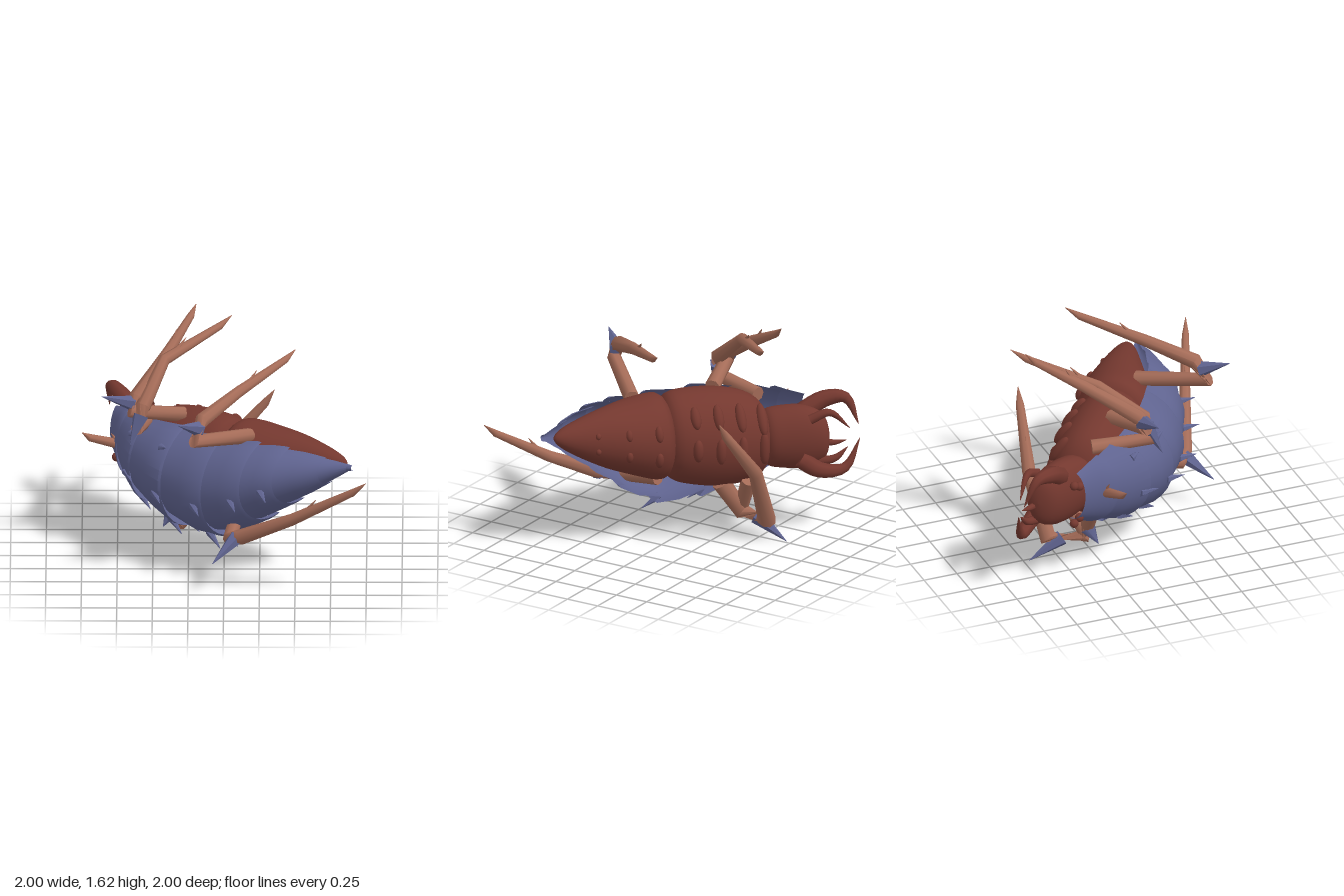
import * as THREE from 'three';
import { toCreasedNormals } from 'three/addons/utils/BufferGeometryUtils.js';

const mat = (name, color) => new THREE.MeshStandardMaterial({ name, color, side: THREE.DoubleSide });
const red = mat('body red', 0x74382f);
const blue = mat('shell blue', 0x5f638f);
const tan = mat('leg tan', 0xa56c58);

const vec = (a) => new THREE.Vector3(...a);
// Body axes: u runs from head to tail, v towards the back plates, y up
const U = vec([0.775, 0, 0.632]), V = vec([-0.632, 0, 0.775]), Y = vec([0, 1, 0]);
const at = (u, v, y) => U.clone().multiplyScalar(u).addScaledVector(V, v).addScaledVector(Y, y);

// Skin a row of equal-length rings
function loft(rings, closed, crease) {
  const n = rings[0].length, idx = [];
  for (let i = 0; i < rings.length - 1; i++) {
    for (let j = 0; j < (closed ? n : n - 1); j++) {
      const a = i * n + j, b = i * n + (j + 1) % n;
      idx.push(a, b, a + n, b, b + n, a + n);
    }
  }
  const g = new THREE.BufferGeometry().setFromPoints(rings.flat());
  g.setIndex(idx);
  g.computeVertexNormals();
  return crease ? toCreasedNormals(g, crease) : g;
}

// Smooth lookup along stations [u, v, y, half depth, half height];
// the returned function gives a surface point, its angle measured from the back, downwards
function bodyShape(...stations) {
  const spline = new THREE.CubicInterpolant(
    stations.map((s) => s[0]), stations.flatMap((s) => s.slice(1)), 4);
  return (u, angle, k = 1) => {
    const [v, y, rv, ry] = spline.evaluate(u);
    return at(u, v + Math.cos(angle) * rv * k, y - Math.sin(angle) * ry * k);
  };
}
const ring = (shape, u, k, from, to, n) =>
  Array.from({ length: n }, (_, j) => shape(u, from + (to - from) * j / n, k));

const head = bodyShape([-1.03, -0.2, 0.69, 0.1, 0.17], [-0.87, -0.14, 0.69, 0.15, 0.23],
  [-0.57, -0.04, 0.68, 0.17, 0.21]);
const thorax = bodyShape([-0.65, -0.03, 0.68, 0.18, 0.24], [-0.5, 0, 0.69, 0.26, 0.32],
  [-0.25, 0.02, 0.71, 0.3, 0.36], [0.16, 0.02, 0.76, 0.26, 0.32]);
const abdomen = bodyShape([0.07, 0.01, 0.755, 0.295, 0.35], [0.38, -0.03, 0.8, 0.27, 0.275],
  [0.6, -0.08, 0.835, 0.19, 0.215], [0.99, -0.15, 0.9, 0.05, 0.055]);
const back = bodyShape([-0.95, 0.02, 0.75, 0.1, 0.2], [-0.5, 0.1, 0.69, 0.35, 0.33],
  [0.17, 0.1, 0.65, 0.39, 0.385], [0.65, 0, 0.805, 0.3, 0.225], [1.05, -0.12, 0.905, 0.02, 0.02]);

// Closed body part whose ends round off
function sac(shape, u0, u1) {
  const rings = [];
  for (let i = 0; i <= 24; i++) {
    const c = -Math.cos(i / 24 * Math.PI);
    const k = Math.sqrt(Math.max(0, 1 - c ** 10));
    rings.push(ring(shape, THREE.MathUtils.lerp(u0, u1, (c + 1) / 2), k, 0, Math.PI * 2, 24));
  }
  return loft(rings, true);
}

// Tapered tube through points, radius given by a function of the index
function limb(points, radius, sides = 8) {
  let side = vec([0.31, 0.52, 0.79]);
  const rings = points.map((c, i) => {
    const ahead = points[Math.min(i + 1, points.length - 1)], behind = points[Math.max(i - 1, 0)];
    const t = ahead.clone().sub(behind).normalize();
    side = side.clone().addScaledVector(t, -side.dot(t)).normalize();
    const up = t.clone().cross(side);
    return Array.from({ length: sides }, (_, j) => {
      const a = j / sides * Math.PI * 2;
      return c.clone().addScaledVector(side, Math.cos(a) * radius(i)).addScaledVector(up, Math.sin(a) * radius(i));
    });
  });
  rings.unshift(rings[0].map(() => points[0]));
  return loft(rings, true, 1);
}

export function createModel() {
  const model = new THREE.Group();
  const add = (name, geo, material, parent = model) => {
    const m = new THREE.Mesh(geo, material);
    m.name = name;
    parent.add(m);
    return m;
  };
  const group = (name) => {
    const g = new THREE.Group();
    g.name = name;
    model.add(g);
    return g;
  };
  const spike = (name, from, to, r, material, parent) =>
    add(name, limb([from, to], (i) => (i ? 0.002 : r), 6), material, parent);

  // Soft body
  add('head', sac(head, -1.03, -0.57), red);
  add('thorax', sac(thorax, -0.65, 0.16), red);
  add('abdomen', sac(abdomen, 0.07, 0.99), red);

  // Overlapping back plates, each flaring towards its rear rim
  const shell = group('shell');
  const cuts = [-0.9, -0.75, -0.5, -0.17, 0.17, 0.45, 0.65, 0.88, 1.05];
  cuts.slice(1).forEach((b, i) => {
    const a = cuts[i];
    const profile = [[a - 0.04, 0.92], [(a + b) / 2, 0.99], [b, 1.04], [b + 0.02, 1.02], [b - 0.02, 0.93]];
    add('backPlate', loft(profile.map(([u, k]) => ring(back, u, k, -1.25, 2, 17)), false, 0.6), blue, shell);
    // Thorns sweep backwards in rows: short above, long at the middle and below
    for (const [angle, length, first, last] of [[-0.7, 0.08, 1, 2], [0.22, 0.16, 1, 5], [1.05, 0.17, 1, 3], [1.5, 0.15, 1, 3]]) {
      if (i < first || i > last) continue;
      const base = back(b - 0.06, angle, 0.98);
      const dir = at(0.8, Math.cos(angle) * 0.6, -Math.sin(angle) * 0.5).normalize();
      spike('thorn', base, base.clone().addScaledVector(dir, length), 0.03, blue, shell);
    }
  });

  // Leg: hip, knee, elbow, shank and tip, a spike at the joint and a barb along the shank
  const legRadii = [0.055, 0.048, 0.055, 0.042, 0.026, 0.002];
  function leg(name, path, spikeTip, girth = 1) {
    const g = group(name);
    const [hip, knee, elbow, shank, tip] = path.map(vec);
    const claw = shank.clone().lerp(tip, 0.82);
    claw.y -= 0.02;
    add('limb', limb([hip, knee, elbow, shank, claw, tip], (i) => legRadii[i] * girth), tan, g);
    spike('kneeSpike', knee.clone().lerp(elbow, 0.6), vec(spikeTip), 0.058, blue, g);
    const root = shank.clone().lerp(tip, 0.15);
    const barbTip = shank.clone().lerp(tip, 0.32).addScaledVector(Y, 0.06);
    spike('barb', root, barbTip, 0.022, tan, g);
  }
  leg('upperFrontLeg', [[-0.5, 0.96, -0.33], [-0.61, 1, 0.08], [-0.57, 1.15, 0.04],
    [-0.42, 1.39, -0.25], [0.05, 1.54, -0.72]], [-0.66, 0.9, 0.14]);
  leg('upperMiddleLeg', [[-0.28, 1.04, -0.09], [-0.66, 1.11, 0.02], [-0.62, 1.19, -0.02],
    [-0.4, 1.4, -0.35], [-0.2, 1.63, -0.71]], [-0.86, 1.22, 0.03]);
  leg('upperRearLeg', [[0.18, 1.03, 0.29], [-0.21, 1.14, 0.68], [-0.15, 1.27, 0.6],
    [0.1, 1.37, 0.32], [0.5, 1.52, -0.12]], [-0.32, 1.3, 0.79]);
  leg('lowerFrontLeg', [[-0.24, 0.42, -0.42], [-0.33, 0.14, -0.29], [-0.39, 0.3, -0.31],
    [-0.7, 0.71, -0.34], [-1, 0.83, -0.27]], [-0.43, 0.13, -0.25]);
  leg('lowerMiddleLeg', [[-0.17, 0.39, -0.23], [-0.31, 0.14, -0.32], [-0.25, 0.15, -0.56],
    [-0.02, 0.58, -0.61], [0.35, 1.05, -0.54]], [-0.27, 0.01, -0.71], 1.2);
  leg('lowerRearLeg', [[0.12, 0.45, 0.11], [0.04, 0.37, 0.58], [0.12, 0.4, 0.63],
    [0.48, 0.59, 0.78], [1, 0.95, 1]], [-0.08, 0.25, 0.77]);

  // Jaws: smooth curves, thick at the root and pointed at the tip
  const jaw = (name, r, ...pts) => {
    const curve = new THREE.CatmullRomCurve3(pts.map(vec)).getPoints(12);
    add(name, limb(curve, (i) => r * (1 - (i / 12) ** 2) + 0.002), red);
  };
  jaw('upperJaw', 0.065, [-0.62, 0.85, -0.62], [-0.73, 0.94, -0.74], [-0.8, 0.95, -0.87], [-0.81, 0.77, -0.97]);
  jaw('lowerJaw', 0.062, [-0.47, 0.56, -0.7], [-0.54, 0.48, -0.82], [-0.68, 0.48, -0.94], [-0.78, 0.68, -1]);
  jaw('upperPalp', 0.032, [-0.52, 0.85, -0.75], [-0.6, 0.9, -0.86], [-0.71, 0.77, -0.96]);
  jaw('lowerPalp', 0.032, [-0.58, 0.52, -0.76], [-0.64, 0.55, -0.88], [-0.7, 0.63, -0.95]);
  jaw('middleFeeler', 0.026, [-0.6, 0.67, -0.75], [-0.65, 0.66, -0.86], [-0.7, 0.68, -0.94]);

  // Two eyes on each side of the head
  for (const s of [-1, 1]) {
    for (const d of [0, 0.05]) {
      const eye = add('eye', new THREE.SphereGeometry(0.032, 10, 8), red);
      eye.position.set(-0.76 + d / 2, 0.68 + s * (0.15 - d / 2), -0.57 + d);
    }
  }

  // Paired belly ridges, shrinking towards the tail
  function ridges(shape, u, angles, length, thickness) {
    for (const angle of angles) {
      const m = add('bellyRidge', new THREE.SphereGeometry(1, 12, 8), red);
      m.scale.set(thickness, length, thickness);
      m.position.copy(shape(u, angle));
      const along = shape(u, angle + 0.05).sub(shape(u, angle - 0.05)).normalize();
      m.quaternion.setFromUnitVectors(Y, along);
    }
  }
  for (let i = 0; i < 4; i++) ridges(thorax, -0.54 + i * 0.165, [3.1, 3.8], 0.12 - i * 0.012, 0.038);
  for (let i = 0; i < 3; i++) ridges(abdomen, 0.25 + i * 0.22, [2.85, 3.5], 0.06 - i * 0.018, 0.03 - i * 0.005);
  return model;
}
